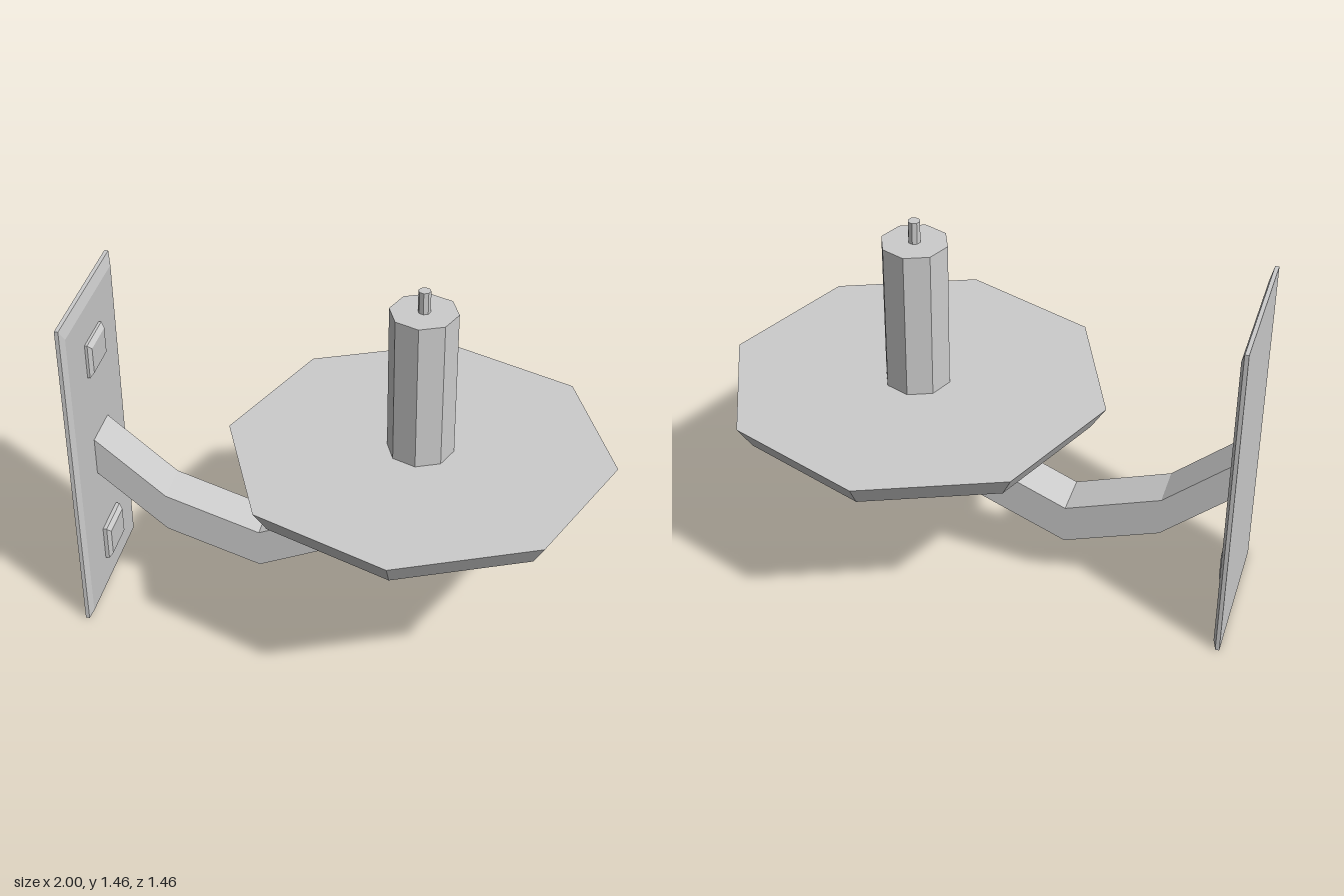
import * as THREE from 'three';

export function createModel() {
  const group = new THREE.Group();
  const metal = new THREE.MeshStandardMaterial({ color: 0xcccccc, flatShading: true });
  metal.name = 'light grey';

  const add = (name, geometry, x = 0, y = 0, z = 0) => {
    const mesh = new THREE.Mesh(geometry, metal);
    mesh.name = name;
    mesh.position.set(x, y, z);
    group.add(mesh);
    return mesh;
  };

  // Upright slab facing +x whose front edges are bevelled inwards
  const bevelledSlab = ({ x, y, halfZ, insetBottom, insetTop, insetZ }) => {
    const geo = new THREE.BoxGeometry(2, 2, 2, 2, 1, 1);
    const p = geo.attributes.position;
    for (let i = 0; i < p.count; i++) {
      const front = p.getX(i) > 0.5 ? 1 : 0;
      const up = p.getY(i) > 0;
      p.setXYZ(
        i,
        x[Math.round(p.getX(i)) + 1],
        up ? y[1] - front * insetTop : y[0] + front * insetBottom,
        Math.sign(p.getZ(i)) * (halfZ - front * insetZ)
      );
    }
    geo.computeVertexNormals();
    return geo;
  };

  // Wall plate
  add('wallPlate', bevelledSlab({
    x: [-1, -0.985, -0.972], y: [0, 1.323], halfZ: 0.297,
    insetBottom: 0.02, insetTop: 0.047, insetZ: 0.027
  }));

  // Raised square fixings above and below the arm
  [['upperFixing', 0.997, 1.138, -0.948], ['lowerFixing', 0.142, 0.286, -0.943]].forEach(([name, y0, y1, front]) =>
    add(name, bevelledSlab({
      x: [-0.975, front - 0.014, front], y: [y0, y1], halfZ: 0.087,
      insetBottom: 0.018, insetTop: 0.018, insetZ: 0.012
    }))
  );

  // Bent arm: side outline extruded across its width
  const outline = [
    [-0.973, 0.56], [-0.705, 0.328], [-0.34, 0.204], [0.01, 0.356], [0.355, 0.7],
    [0.2, 0.7], [0.01, 0.513], [-0.34, 0.36], [-0.705, 0.484], [-0.973, 0.715]
  ].map(([x, y]) => new THREE.Vector2(x, y));
  add('arm', new THREE.ExtrudeGeometry(new THREE.Shape(outline), { depth: 0.172, bevelEnabled: false }), 0, 0, -0.087);

  // Stack of eight-sided parts: dish, candle and wick
  const axisX = 0.268;
  const octagonal = (name, rTop, rBottom, y0, y1) =>
    add(name, new THREE.CylinderGeometry(rTop, rBottom, y1 - y0, 8), axisX, (y0 + y1) / 2, -0.002);
  octagonal('dish', 0.73, 0.674, 0.698, 0.788);
  octagonal('candle', 0.126, 0.126, 0.788, 1.375);
  octagonal('wick', 0.023, 0.023, 1.375, 1.46);

  return group;
}
